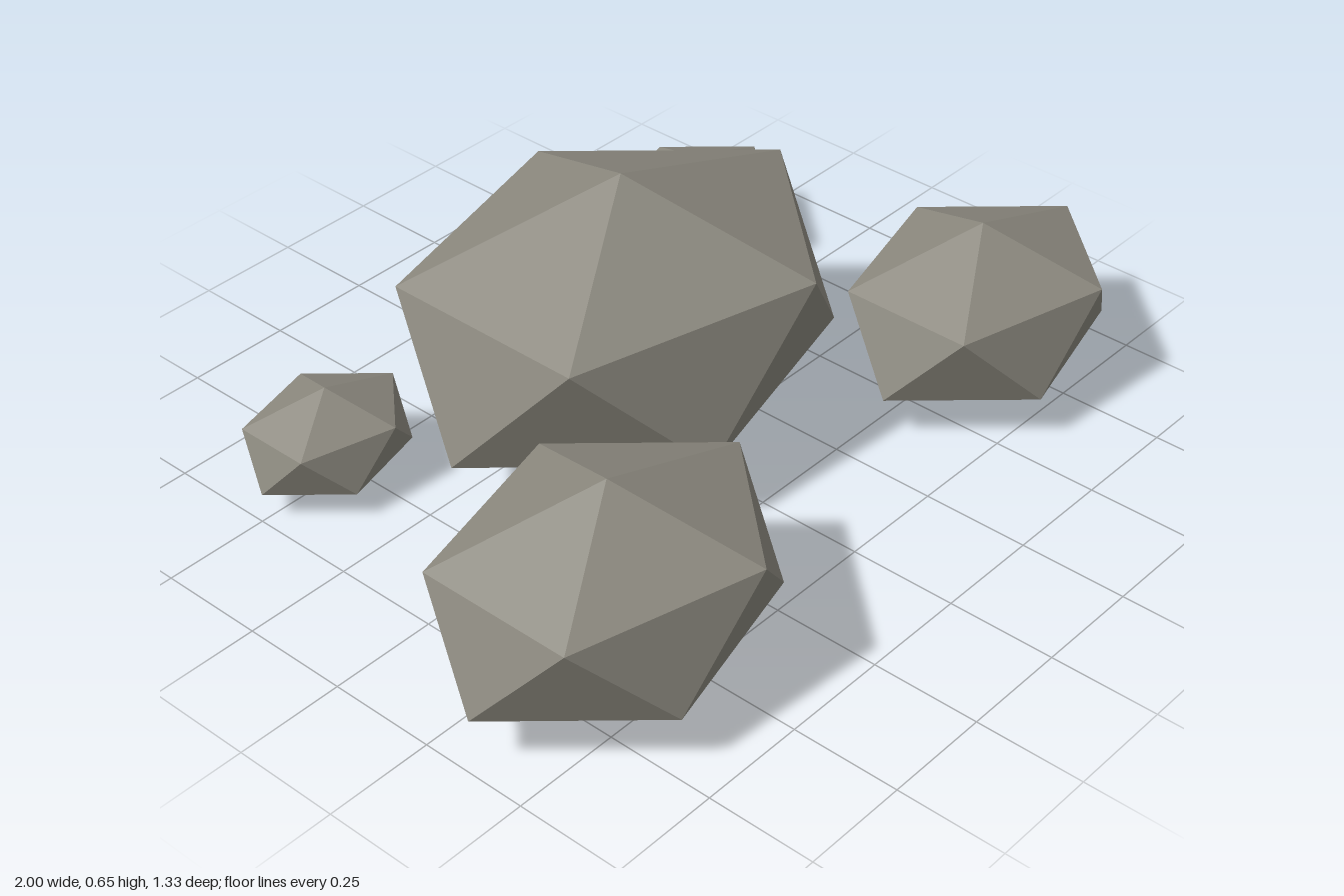
import * as THREE from 'three';
import { ConvexGeometry } from 'three/addons/geometries/ConvexGeometry.js';

// Twelve corners of a squashed icosahedron standing on its lower tip
function rockGeometry(rx) {
  const height = rx * 1.238, rz = rx * 0.8;
  const points = [new THREE.Vector3(0, height, 0), new THREE.Vector3(0, 0, 0)];
  for (let i = 0; i < 5; i++) {
    const a = (i * Math.PI * 2) / 5;
    const x = rx * Math.cos(a), z = rz * Math.sin(a);
    points.push(new THREE.Vector3(x, height * 0.7236, z)); // upper ring
    points.push(new THREE.Vector3(-x, height * 0.2764, -z)); // lower ring
  }
  return new ConvexGeometry(points);
}

export function createModel() {
  const group = new THREE.Group();
  group.name = 'rockCluster';
  const stone = new THREE.MeshStandardMaterial({ color: 0x8c897f, flatShading: true });
  stone.name = 'greyStone';

  // name, x, z, half width
  const rocks = [
    ['centreBoulder', 0.01, -0.16, 0.525],
    ['frontRightRock', -0.612, 0.37, 0.388],
    ['frontLeftRock', 0.666, 0.308, 0.333],
    ['backLeftPebble', 0.632, -0.5, 0.222],
    ['backRightPebble', -0.55, -0.5, 0.194],
  ];
  for (const [name, x, z, rx] of rocks) {
    const rock = new THREE.Mesh(rockGeometry(rx), stone);
    rock.name = name;
    rock.position.set(x, 0, z);
    group.add(rock);
  }
  return group;
}
